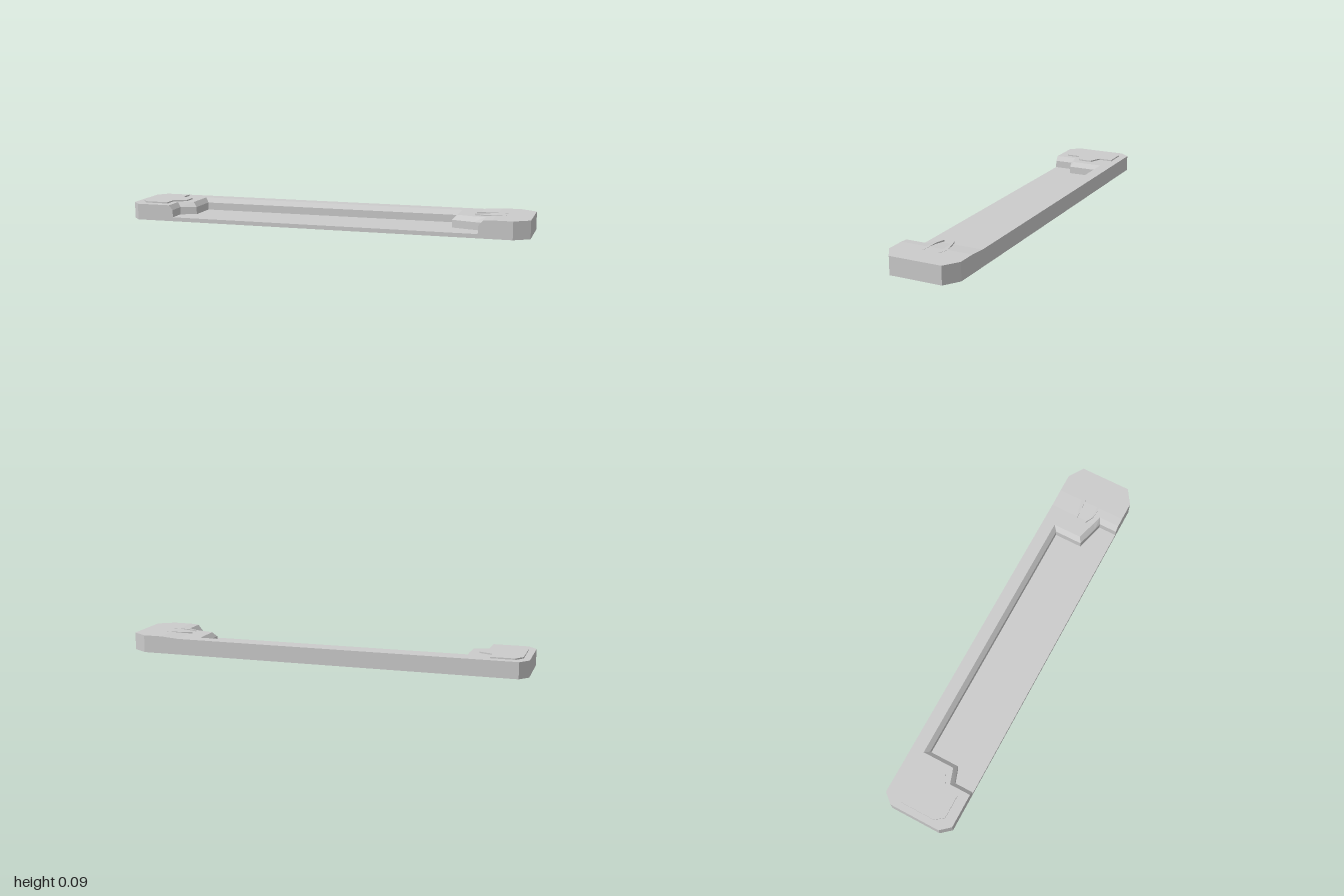
import * as THREE from 'three';

const material = new THREE.MeshStandardMaterial({
  color: 0xcccccc, flatShading: true, side: THREE.DoubleSide,
});

// Deck height: flat, then a short ramp up to the raised left end
const RAMP0 = 0.74, RAMP1 = 0.83, TOP = 0.08, RISE = 0.007;
const deckY = (x) => TOP + RISE * THREE.MathUtils.clamp((x - RAMP0) / (RAMP1 - RAMP0), 0, 1);

// Upward-facing surface over an [x, z] outline, with height given by a rule
function cap(name, outline, height, hole) {
  const toV2 = ([x, z]) => new THREE.Vector2(x, -z);
  const shape = new THREE.Shape(outline.map(toV2));
  if (hole) shape.holes.push(new THREE.Path(hole.map(toV2)));
  const geo = new THREE.ShapeGeometry(shape).rotateX(-Math.PI / 2);
  const p = geo.attributes.position;
  for (let i = 0; i < p.count; i++) p.setY(i, height(p.getX(i)));
  geo.computeVertexNormals();
  return named(name, geo);
}

// Wall between two matching lines of [x, y, z] points
function strip(name, upper, lower, closed = false) {
  const pos = [];
  const n = upper.length;
  for (let i = 0; i < (closed ? n : n - 1); i++) {
    const j = (i + 1) % n;
    pos.push(...upper[i], ...lower[i], ...lower[j], ...upper[i], ...lower[j], ...upper[j]);
  }
  const geo = new THREE.BufferGeometry();
  geo.setAttribute('position', new THREE.Float32BufferAttribute(pos, 3));
  geo.computeVertexNormals();
  return named(name, geo);
}

function named(name, geo) {
  const mesh = new THREE.Mesh(geo, material);
  mesh.name = name;
  return mesh;
}

const lift = (line, height) => line.map(([x, z]) => [x, height(x), z]);

export function createModel() {
  const group = new THREE.Group();
  group.name = 'slimCaseShell';
  const BACK = -0.177, FRONT = 0.177, BEVEL = 0.057, FLOOR = 0.02;

  // Recess lines, from the front left (+x) round to the front right (-x)
  const rim = [[0.787, FRONT], [0.787, 0.072], [RAMP0, 0.058], [0.643, 0.03], [0.643, -0.115],
    [-0.711, -0.115], [-0.711, 0.045], [-0.787, 0.07], [-0.787, FRONT]];
  const inner = [[0.765, FRONT], [0.765, 0.086], [0.728, 0.076], [0.622, 0.046], [0.622, -0.094],
    [-0.69, -0.094], [-0.69, 0.057], [-0.767, 0.084], [-0.767, FRONT]];

  // Raised end plate outline
  const plate = [[-0.968, -0.093], [-0.936, -0.136], [-0.818, -0.136], [-0.818, -0.066],
    [-0.755, -0.04], [-0.755, 0.03], [-0.818, 0.06], [-0.818, 0.128], [-0.936, 0.128], [-0.968, 0.085]];

  // Top deck in three pieces: main, ramp, raised end
  const rightEnd = [[-0.958, FRONT], [-1, 0.128], [-1, -0.128], [-0.958, BACK]];
  const leftEnd = [[0.925, BACK], [1, -0.128], [1, 0.128], [0.925, FRONT]];
  group.add(cap('mainDeck', [...rim.slice(2), ...rightEnd, [RAMP0, BACK]], deckY, plate));
  group.add(cap('rampDeck', [[RAMP0, BACK], [RAMP1, BACK], [RAMP1, FRONT], ...rim.slice(0, 3)], deckY));
  group.add(cap('raisedEndDeck', [[RAMP1, BACK], ...leftEnd, [RAMP1, FRONT]], deckY));

  // End plate
  const plateY = () => 0.0865;
  group.add(cap('endPlate', plate, plateY));
  group.add(strip('endPlateEdge', lift(plate, plateY), lift(plate, deckY), true));

  // Recess: sloped bevel, upright wall and floor
  group.add(strip('recessBevel', lift(rim, deckY), lift(inner, () => BEVEL)));
  group.add(strip('recessWall', lift(inner, () => BEVEL), lift(inner, () => FLOOR)));
  group.add(cap('recessFloor', inner, () => FLOOR));

  // Outer wall, dropping low across the recess opening; the underside is open
  const top = [
    ...lift([...rightEnd, [RAMP0, BACK], [RAMP1, BACK], ...leftEnd, [RAMP1, FRONT], rim[0]], deckY),
    [0.765, BEVEL, FRONT], [0.765, FLOOR, FRONT],
    [-0.767, FLOOR, FRONT], [-0.767, BEVEL, FRONT], [-0.787, TOP, FRONT],
  ];
  group.add(strip('outerWall', top.reverse(), top.map(([x, , z]) => [x, 0, z]), true));

  // Pair of slim crescent ridges on the raised end
  const crescent = [[0.727, -0.03], [0.77, -0.043], [0.83, -0.055], [0.875, -0.047],
    [0.875, -0.037], [0.82, -0.035], [0.77, -0.032]];
  const mirrored = [[0.727, 0.02], [0.77, 0.033], [0.82, 0.035], [0.875, 0.034],
    [0.875, 0.041], [0.83, 0.046], [0.77, 0.042]];
  for (const [side, line] of [['back', crescent], ['front', mirrored]]) {
    group.add(cap(side + 'Crescent', line, () => 0.088));
    group.add(strip(side + 'CrescentEdge', lift(line, () => 0.088), lift(line, deckY), true));
  }
  return group;
}
